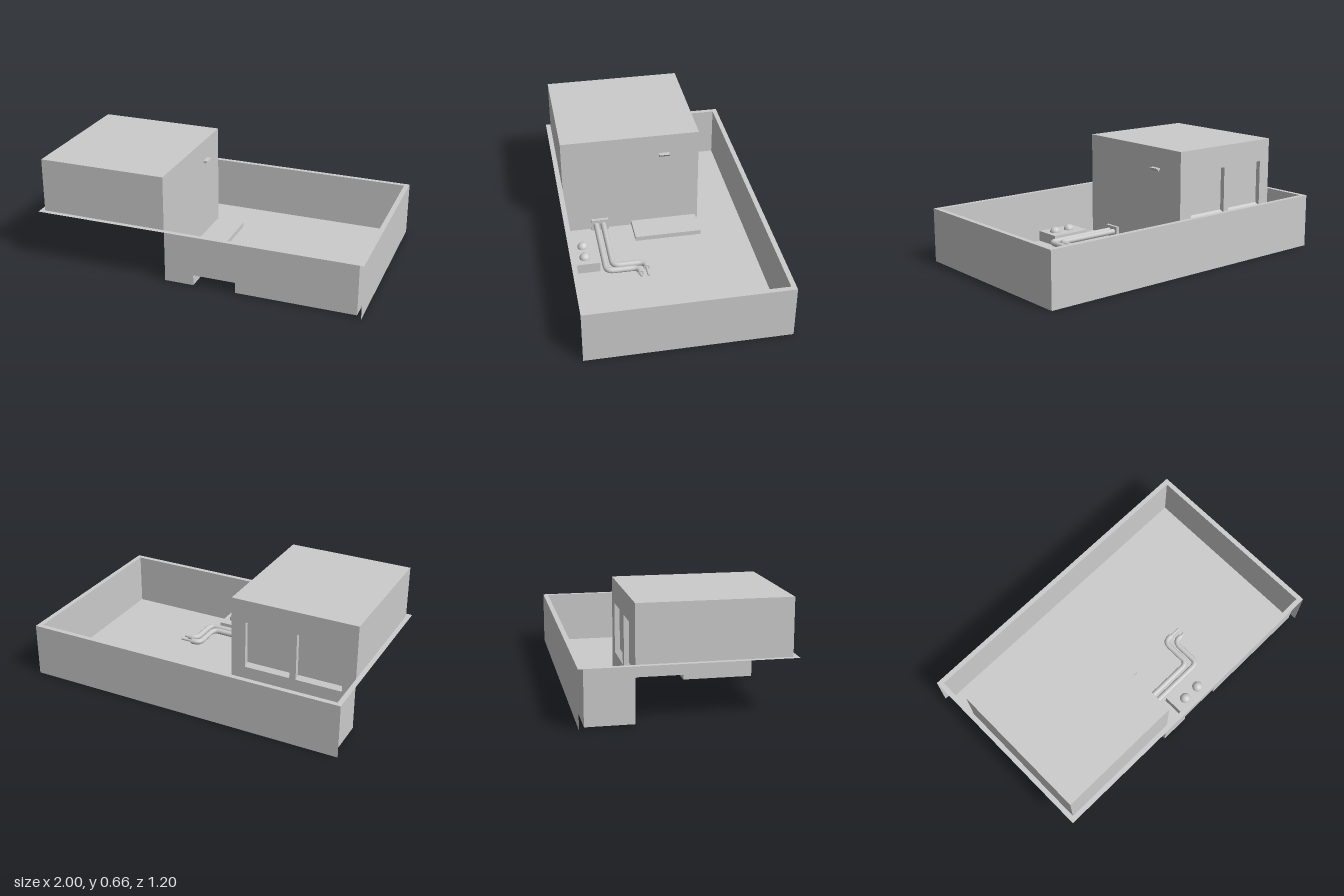
import * as THREE from 'three';

const grey = new THREE.MeshStandardMaterial({ color: 0xcccccc, side: THREE.DoubleSide });

// Main measures
const H = 0.33, X = 0.97, Z = 0.57, FLOOR = 0.005;   // tray height, inner half sizes, floor level
const BX = -0.19, BZ = -0.295, TOP = 0.66;           // raised block: +x side, back side, top
const WINDOWS = [[-0.89, -0.605], [-0.565, -0.28]];
const SILL = 0.225, SILL_IN = 0.243, HEAD = 0.52, PIT = 0.03;

const rect = (u0, v0, u1, v1) => [[u0, v0], [u1, v0], [u1, v1], [u0, v1]];
const onX = x => (u, v) => [x, v, u];   // u = z, v = y
const onY = y => (u, v) => [u, y, v];   // u = x, v = z
const onZ = z => (u, v) => [u, v, z];   // u = x, v = y

// Thin flat panel: a 2D outline with holes, placed on a plane
function panel(parent, name, place, outline, holes = []) {
  const vec = pts => pts.map(p => new THREE.Vector2(...p));
  const shape = new THREE.Shape(vec(outline));
  holes.forEach(h => shape.holes.push(new THREE.Path(vec(h))));
  const geo = new THREE.ShapeGeometry(shape);
  const pos = geo.attributes.position;
  for (let i = 0; i < pos.count; i++) pos.setXYZ(i, ...place(pos.getX(i), pos.getY(i)));
  geo.computeVertexNormals();
  return add(parent, name, geo);
}

function add(parent, name, geo) {
  const mesh = new THREE.Mesh(geo, grey);
  mesh.name = name;
  parent.add(mesh);
  return mesh;
}

function group(parent, name) {
  const g = new THREE.Group();
  g.name = name;
  parent.add(g);
  return g;
}

// Hollow raised step, open below and on the sides left out
function step(parent, name, x0, x1, z0, z1, top, sides) {
  const g = group(parent, name);
  panel(g, name + 'Top', onY(top), rect(x0, z0, x1, z1));
  if (sides.includes('left')) panel(g, name + 'Left', onX(x1), rect(z0, FLOOR, z1, top));
  if (sides.includes('right')) panel(g, name + 'Right', onX(x0), rect(z0, FLOOR, z1, top));
  if (sides.includes('back')) panel(g, name + 'Back', onZ(z0), rect(x0, FLOOR, x1, top));
  if (sides.includes('front')) panel(g, name + 'Front', onZ(z1), rect(x0, FLOOR, x1, top));
}

// Path along points with rounded corners
function roundedPath(pts, r) {
  const path = new THREE.CurvePath();
  let last = pts[0];
  for (let i = 1; i < pts.length - 1; i++) {
    const toward = q => pts[i].clone().add(q.clone().sub(pts[i]).setLength(r));
    const a = toward(pts[i - 1]), b = toward(pts[i + 1]);
    path.add(new THREE.LineCurve3(last, a));
    path.add(new THREE.QuadraticBezierCurve3(a, pts[i], b));
    last = b;
  }
  path.add(new THREE.LineCurve3(last, pts[pts.length - 1]));
  return path;
}

function createModel() {
  const model = new THREE.Group();
  model.name = 'roomTray';

  // Tray: rim, outer walls on two sides, inner walls, floor cut round the hollow parts
  const tray = group(model, 'tray');
  panel(tray, 'rim', onY(H), rect(-1, -0.6, 1, 0.6), [rect(-X, -Z, X, Z)]);
  panel(tray, 'outerLeftWall', onX(1), rect(-0.6, 0, 0.6, H));
  panel(tray, 'outerBackWall', onZ(-0.6), rect(-1, 0, 1, H));
  panel(tray, 'innerLeftWall', onX(X), rect(-Z, FLOOR, Z, H));
  panel(tray, 'innerBackWall', onZ(-Z), rect(-X, FLOOR, X, H));
  panel(tray, 'innerRightWall', onX(-X), rect(-Z, FLOOR, BZ, H));
  panel(tray, 'innerFrontWall', onZ(Z),
    [[BX, FLOOR], [-0.01, FLOOR], [-0.01, 0.07], [0.25, 0.07], [0.25, FLOOR], [X, FLOOR], [X, H], [BX, H]]);
  panel(tray, 'floor', onY(FLOOR), [
    [-X, -Z], [X, -Z], [X, Z], [0.25, Z], [0.25, 0.4], [-0.01, 0.4], [-0.01, Z], [BX, Z],
    [BX, 0.4], [-0.17, 0.4], [-0.17, 0.29], [BX, 0.29],
    [BX, 0.14], [-0.01, 0.14], [-0.01, -0.28], [BX, -0.28], [BX, BZ], [-X, BZ]]);

  // Raised block, open below the rim at the front and right
  const block = group(model, 'block');
  panel(block, 'blockTop', onY(TOP), rect(-X, BZ, BX, Z));
  panel(block, 'blockFront', onZ(Z), rect(-X, H, BX, TOP));
  panel(block, 'blockRight', onX(-X), rect(BZ, H, Z, TOP));
  panel(block, 'blockLeft', onX(BX), [
    [BZ, FLOOR], [-0.28, FLOOR], [-0.28, 0.035], [0.14, 0.035], [0.14, FLOOR],
    [Z, FLOOR], [Z, TOP], [BZ, TOP]]);
  panel(block, 'blockBack', onZ(BZ), rect(-X, FLOOR, BX, TOP),
    WINDOWS.map(([a, b]) => rect(a, SILL, b, HEAD)));

  // Window recesses with sloping sills
  for (const [a, b] of WINDOWS) {
    const w = group(block, 'window');
    const zi = BZ + PIT;
    panel(w, 'windowPane', onZ(zi), rect(a, SILL_IN, b, HEAD));
    panel(w, 'windowHead', onY(HEAD), rect(a, BZ, b, zi));
    for (const x of [a, b])
      panel(w, 'windowJamb', onX(x), [[BZ, SILL], [zi, SILL_IN], [zi, HEAD], [BZ, HEAD]]);
    panel(w, 'windowSill', (u, v) => [u, SILL + (SILL_IN - SILL) * v, BZ + PIT * v], rect(a, 0, b, 1));
  }

  // Door step, hob and pipe plate
  step(model, 'doorStep', BX, -0.01, -0.28, 0.14, 0.035, ['left', 'back', 'front']);
  step(model, 'hob', -0.01, 0.25, 0.4, Z, 0.07, ['left', 'right', 'back']);
  step(model, 'pipePlate', BX, -0.17, 0.29, 0.4, 0.08, ['left', 'back', 'front']);
  for (const x of [0.075, 0.185])
    add(model, 'knob', new THREE.SphereGeometry(0.033, 24, 10, 0, Math.PI * 2, 0, Math.PI / 2))
      .position.set(x, 0.07, 0.487);

  // Two bent pipes with thin spouts
  const pipes = group(model, 'pipes');
  for (const [z0, x, z1] of [[0.325, 0.26, 0.125], [0.37, 0.305, 0.17]]) {
    const y = 0.045, end = x + 0.055;
    const pts = [[-0.17, z0], [x, z0], [x, z1], [end, z1]].map(p => new THREE.Vector3(p[0], y, p[1]));
    add(pipes, 'pipe', new THREE.TubeGeometry(roundedPath(pts, 0.045), 64, 0.018, 12));
    const cap = add(pipes, 'pipeCap', new THREE.CircleGeometry(0.018, 12));
    cap.rotation.y = Math.PI / 2;
    cap.position.set(end, y, z1);
    const spout = add(pipes, 'spout', new THREE.CylinderGeometry(0.008, 0.008, 0.39 - end, 10));
    spout.rotation.z = Math.PI / 2;
    spout.position.set((end + 0.39) / 2, y, z1);
  }

  // Wedge-shaped door handle on the block's left wall
  const profile = new THREE.Shape([[0, 0.02], [0.03, 0.02], [0.012, 0], [0, 0.012]].map(p => new THREE.Vector2(...p)));
  add(model, 'doorHandle', new THREE.ExtrudeGeometry(profile, { depth: 0.066, bevelEnabled: false }))
    .position.set(BX, 0.513, -0.108);

  return model;
}

export { createModel };
